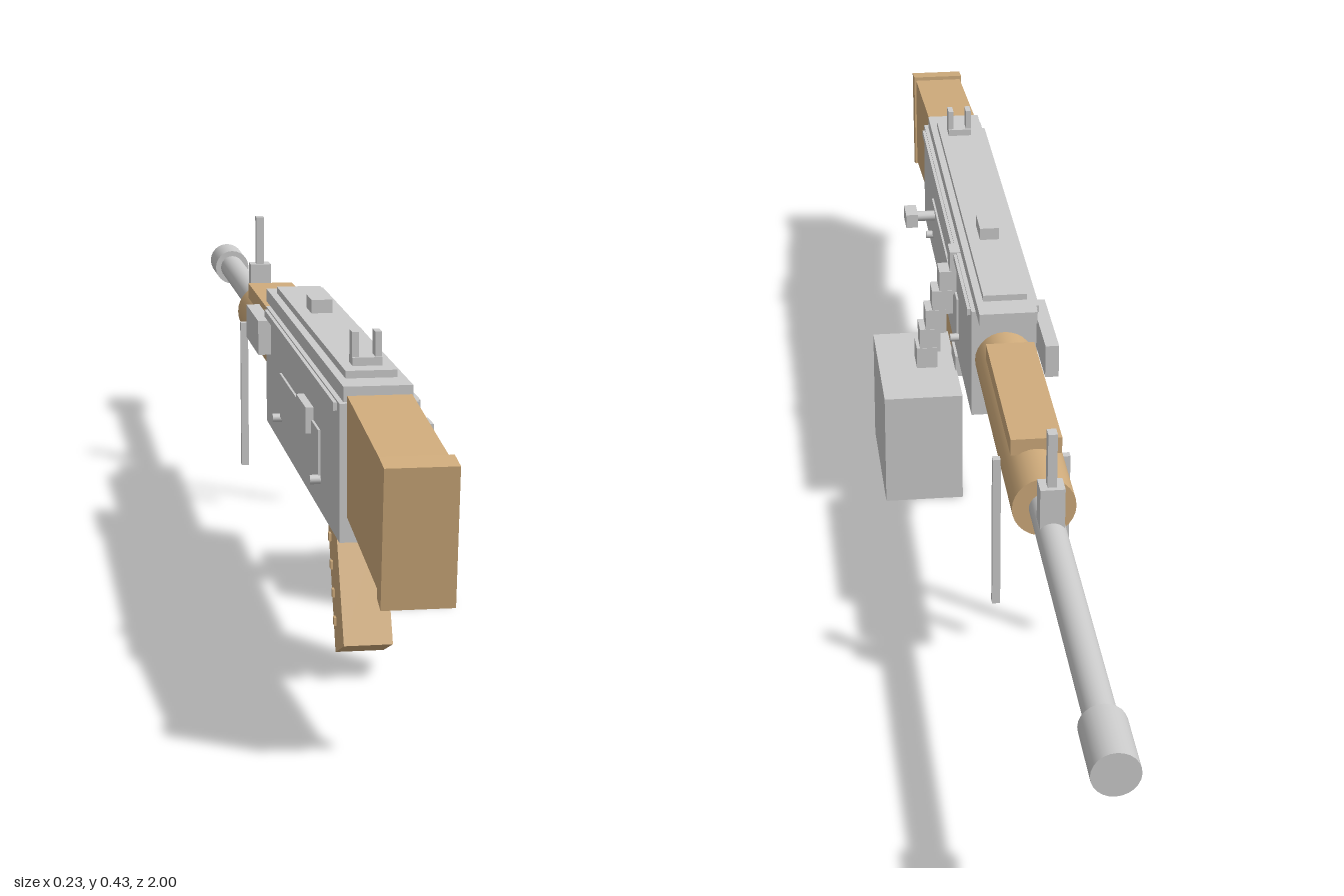
import * as THREE from 'three';

const CX = -0.051; // centre line of the gun body
const AXIS_Y = 0.284; // barrel axis height
const steel = new THREE.MeshStandardMaterial({ color: 0xcccccc, flatShading: true });
const smoothSteel = new THREE.MeshStandardMaterial({ color: 0xcccccc });
const wood = new THREE.MeshStandardMaterial({ color: 0xd0ac7c, flatShading: true });
const smoothWood = new THREE.MeshStandardMaterial({ color: 0xd0ac7c });

export function createModel() {
  const model = new THREE.Group();
  model.name = 'machineGun';

  const add = (name, geometry, material) => {
    const mesh = new THREE.Mesh(geometry, material);
    mesh.name = name;
    model.add(mesh);
    return mesh;
  };
  // Box from its limits on each axis
  const box = (name, [x0, x1], [y0, y1], [z0, z1], material = steel) => {
    const mesh = add(name, new THREE.BoxGeometry(x1 - x0, y1 - y0, z1 - z0), material);
    mesh.position.set((x0 + x1) / 2, (y0 + y1) / 2, (z0 + z1) / 2);
    return mesh;
  };
  // Limits around the centre line
  const mid = (half) => [CX - half, CX + half];
  // Cylinder along z on the barrel axis
  const tube = (name, r, z0, z1, material, sides = 24) => {
    const g = new THREE.CylinderGeometry(r, r, z1 - z0, sides).rotateX(Math.PI / 2);
    add(name, g, material).position.set(CX, AXIS_Y, (z0 + z1) / 2);
  };
  // Cylinder along x
  const pin = (name, r, x0, x1, y, z) => {
    const g = new THREE.CylinderGeometry(r, r, x1 - x0, 12).rotateZ(Math.PI / 2);
    add(name, g, smoothSteel).position.set((x0 + x1) / 2, y, z);
  };
  // Side outline of [z, y] points, extruded across x
  const slab = (name, points, half, material) => {
    const shape = new THREE.Shape(points.map(([z, y]) => new THREE.Vector2(-z, y)));
    const g = new THREE.ExtrudeGeometry(shape, { depth: half * 2, bevelEnabled: false });
    g.translate(0, 0, -half).rotateY(Math.PI / 2);
    add(name, g, material).position.x = CX;
  };

  // Receiver, top cover and side rails
  box('receiver', mid(0.047), [0.195, 0.36], [0.005, 0.72]);
  box('topCover', mid(0.041), [0.36, 0.378], [-0.042, 0.71]);
  box('coverStrip', mid(0.031), [0.378, 0.387], [0.0, 0.66]);
  box('coverLatch', mid(0.014), [0.387, 0.405], [0.19, 0.24]);
  for (const s of [-1, 1]) {
    const x = CX + s * 0.0485;
    box('sideRail', [x - 0.003, x + 0.003], [0.348, 0.358], [0.02, 0.7]);
    box('sidePanel', [x - 0.0015, x + 0.0015], [0.236, 0.296], [0.18, 0.56]);
  }
  for (const z of [0.18, 0.558]) pin('receiverPin', 0.006, -0.111, 0.009, 0.234, z);
  box('ejectionPort', [-0.108, -0.097], [0.279, 0.312], [0.41, 0.5]);
  box('sideBlock', [-0.116, -0.097], [0.3, 0.348], [-0.09, 0.06]);
  box('bottomPlate', mid(0.015), [0.184, 0.196], [0.055, 0.1]);

  // Cocking handle
  pin('handleShaft', 0.008, -0.005, 0.03, 0.284, 0.52);
  box('handleKnob', [0.027, 0.046], [0.273, 0.295], [0.5, 0.54]);

  // Stock and butt plate
  slab('stock', [[0.72, 0.225], [0.72, 0.369], [0.965, 0.345], [0.957, 0.197]], 0.038, wood);
  slab('buttPlate', [[0.957, 0.193], [0.965, 0.351], [1.0, 0.346], [0.98, 0.186]], 0.041, wood);

  // Grip with ridges, trigger and guard
  slab('grip', [[0.505, 0.176], [0.51, 0.2], [0.566, 0.2], [0.642, 0.046], [0.572, 0.018]], 0.03, wood);
  for (let i = 0; i < 4; i++) {
    const y = 0.155 - i * 0.032;
    const z = 0.532 + i * 0.0145;
    box('gripRidge', mid(0.033), [y - 0.005, y + 0.005], [z - 0.005, z + 0.005], wood);
  }
  box('triggerGuard', mid(0.01), [0.145, 0.156], [0.455, 0.525]);
  box('guardFront', mid(0.01), [0.145, 0.18], [0.455, 0.465]);
  box('trigger', mid(0.007), [0.156, 0.198], [0.487, 0.499]);

  // Handguard, barrel and muzzle
  tube('handguard', 0.042, -0.42, 0.01, smoothWood, 28);
  box('handguardTop', mid(0.034), [0.318, 0.341], [-0.34, -0.06], wood);
  tube('barrel', 0.02, -0.93, -0.41, smoothSteel);
  tube('muzzle', 0.029, -1.0, -0.906, smoothSteel);

  // Front and rear sights
  box('frontSightBase', mid(0.016), [0.295, 0.352], [-0.495, -0.465]);
  box('frontSightPost', mid(0.006), [0.352, 0.427], [-0.488, -0.472]);
  box('rearSightBase', mid(0.018), [0.386, 0.397], [0.6, 0.63]);
  for (const s of [-1, 1]) {
    const x = CX + s * 0.014;
    box('rearSightProng', [x - 0.004, x + 0.004], [0.397, 0.427], [0.604, 0.626]);
  }

  // Bipod legs
  for (const s of [-1, 1]) {
    const x = CX + s * 0.0465;
    box('bipodLeg', [x - 0.0055, x + 0.0055], [0.064, 0.288], [-0.297, -0.286]);
  }

  // Ammunition box, bracket and stepped feed belt
  box('ammoBox', [-0.002, 0.114], [0.0, 0.173], [0.107, 0.325]);
  box('ammoBracket', [-0.022, 0.0], [0.163, 0.196], [0.19, 0.25]);
  const linkX = [-0.01, 0.006, 0.017, 0.027, 0.036, 0.041];
  linkX.forEach((x, i) => {
    const y = 0.342 - i * 0.031;
    const h = 0.016 + i * 0.0007;
    box('beltLink', [x - 0.015, x + 0.016], [y - 0.019, y + 0.019], [0.223 - h, 0.223 + h]);
  });

  return model;
}
